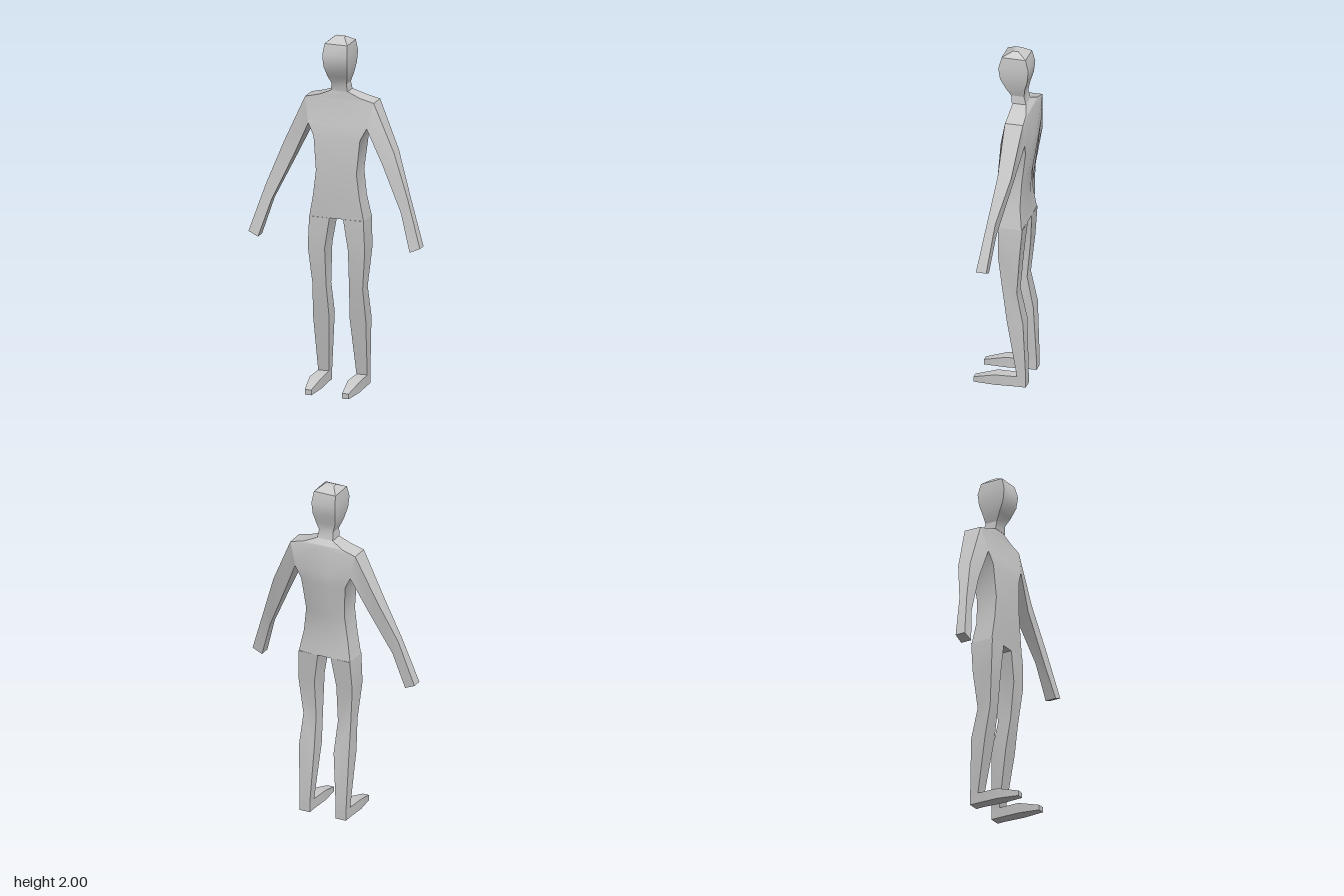
import * as THREE from 'three';
import { toCreasedNormals } from 'three/addons/utils/BufferGeometryUtils.js';

const material = new THREE.MeshStandardMaterial({ color: 0xcccccc });

// Closed skin over rings of [x, y, z] points, capped at both ends
function loft(name, rings) {
  const n = rings[0].length;
  const points = rings.flat().map((p) => new THREE.Vector3(...p));
  const index = [];
  for (let r = 0; r < rings.length - 1; r++) {
    for (let i = 0; i < n; i++) {
      const a = r * n + i, b = r * n + (i + 1) % n;
      index.push(a, b, b + n, a, b + n, a + n);
    }
  }
  const last = (rings.length - 1) * n;
  for (let i = 1; i < n - 1; i++) {
    index.push(0, i + 1, i, last, last + i, last + i + 1);
  }
  // Turn the faces outward, whichever way the rings run
  const centre = points.reduce((s, p) => s.add(p), new THREE.Vector3()).divideScalar(points.length);
  const [u, v, w] = [0, 1, 2].map(() => new THREE.Vector3());
  let volume = 0;
  for (let i = 0; i < index.length; i += 3) {
    u.copy(points[index[i]]).sub(centre);
    v.copy(points[index[i + 1]]).sub(centre);
    w.copy(points[index[i + 2]]).sub(centre);
    volume += u.dot(v.cross(w));
  }
  if (volume < 0) index.reverse();
  const geometry = new THREE.BufferGeometry().setFromPoints(points);
  geometry.setIndex(index);
  const mesh = new THREE.Mesh(toCreasedNormals(geometry, 0.42), material);
  mesh.name = name;
  return mesh;
}

// Level rectangle at height y
const level = (y, x0, x1, front, back) => [[x0, y, front], [x1, y, front], [x1, y, back], [x0, y, back]];
// Upright rectangle at depth z
const upright = (z, x0, x1, y0, y1) => [[x0, y0, z], [x1, y0, z], [x1, y1, z], [x0, y1, z]];

export function createModel() {
  const model = new THREE.Group();
  model.name = 'figure';

  // Head and neck: height, half width, front, back
  model.add(loft('head', [
    [1.69, 0.048, -0.035, -0.115],
    [1.735, 0.043, -0.03, -0.103],
    [1.78, 0.058, -0.004, -0.11],
    [1.84, 0.069, 0.026, -0.128],
    [1.905, 0.073, 0.035, -0.135],
    [1.97, 0.066, 0.018, -0.118],
    [2.0, 0.03, -0.038, -0.067],
  ].map(([y, w, f, b]) => level(y, -w, w, f, b))));

  // Torso: height, half width, front, back at the sides, back at the spine
  model.add(loft('torso', [
    [0.975, 0.158, 0.012, -0.12, -0.125],
    [1.1, 0.135, 0.016, -0.105, -0.112],
    [1.24, 0.118, 0.017, -0.11, -0.123],
    [1.43, 0.135, 0.008, -0.137, -0.155],
    [1.5, 0.17, -0.002, -0.142, -0.155],
    [1.64, 0.2, -0.034, -0.14, -0.142],
    [1.66, 0.12, -0.034, -0.135, -0.138],
    [1.69, 0.048, -0.035, -0.115, -0.115],
  ].map(([y, w, f, b, spine]) => {
    const s = Math.min(0.05, w * 0.5);
    return [[-w, y, f - 0.004], [0, y, f], [w, y, f - 0.004], [w, y, b], [s, y, spine], [-s, y, spine], [-w, y, b]];
  })));

  for (const [label, side] of [['left', 1], ['right', -1]]) {
    // Arm: outer and inner edges, each with x, y, front and back
    model.add(loft(label + 'Arm', [
      [[0.2, 1.64, -0.038, -0.14], [0.17, 1.5, -0.006, -0.142]],
      [[0.322, 1.37, -0.03, -0.107], [0.258, 1.305, -0.014, -0.1]],
      [[0.415, 1.125, 0.005, -0.042], [0.378, 1.045, 0.012, -0.04]],
      [[0.5, 0.863, 0.044, -0.014], [0.442, 0.838, 0.05, -0.014]],
    ].map(([o, i]) => [
      [side * o[0], o[1], o[2]], [side * o[0], o[1], o[3]],
      [side * i[0], i[1], i[3]], [side * i[0], i[1], i[2]],
    ])));

    // Leg: height, inner edge, outer edge, front, back
    model.add(loft(label + 'Leg', [
      [0.975, 0.04, 0.158, 0.012, -0.124],
      [0.8, 0.068, 0.166, 0.011, -0.11],
      [0.58, 0.067, 0.146, -0.01, -0.09],
      [0.4, 0.06, 0.154, -0.037, -0.127],
      [0.07, 0.08, 0.143, -0.09, -0.14],
    ].map(([y, i, o, f, b]) => level(y, side * i, side * o, f, b))));

    // Foot: depth, inner edge, outer edge, sole, top
    model.add(loft(label + 'Foot', [
      [-0.14, 0.08, 0.143, 0.01, 0.07],
      [-0.09, 0.08, 0.143, 0.01, 0.07],
      [0.035, 0.076, 0.146, 0.006, 0.066],
      [0.16, 0.09, 0.128, 0, 0.03],
    ].map(([z, i, o, y0, y1]) => upright(z, side * i, side * o, y0, y1))));
  }
  return model;
}
